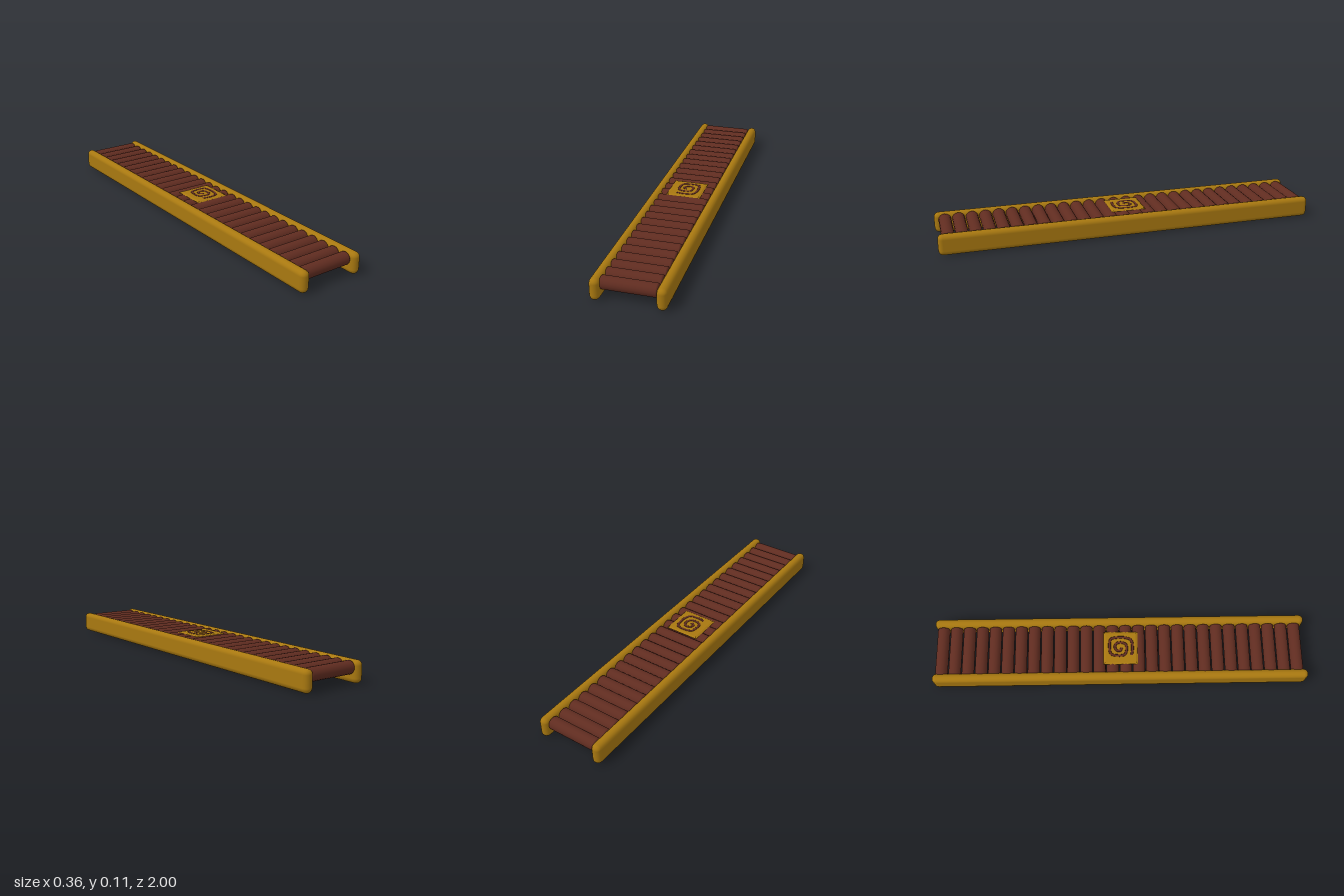
import * as THREE from 'three';
import { RoundedBoxGeometry } from 'three/addons/geometries/RoundedBoxGeometry.js';

export function createModel() {
  const group = new THREE.Group();
  const gold = new THREE.MeshStandardMaterial({ color: 0xa87810 });
  const brown = new THREE.MeshStandardMaterial({ color: 0x602c20 });

  const add = (name, geometry, material, x, y, z) => {
    const mesh = new THREE.Mesh(geometry, material);
    mesh.name = name;
    mesh.position.set(x, y, z);
    group.add(mesh);
    return mesh;
  };

  // Side rails with rounded edges
  const railGeometry = new RoundedBoxGeometry(0.05, 0.11, 2, 2, 0.025);
  for (const side of [-1, 1]) {
    add(side > 0 ? 'leftRail' : 'rightRail', railGeometry, gold, side * 0.155, 0.055, 0);
  }

  // Round slats with softened ends, lying across the rails
  const r = 0.033, half = 0.134, bevel = 0.008;
  const profile = [
    [0, -half], [r - bevel, -half], [r - bevel * 0.3, -half + bevel * 0.3], [r, -half + bevel],
    [r, half - bevel], [r - bevel * 0.3, half - bevel * 0.3], [r - bevel, half], [0, half],
  ].map(([x, y]) => new THREE.Vector2(x, y));
  const slatGeometry = new THREE.LatheGeometry(profile, 16).rotateZ(Math.PI / 2);
  const slatCount = 28;
  for (let i = 0; i < slatCount; i++) {
    add('slat', slatGeometry, brown, -0.003, 0.0745, -0.953 + i * 0.0703);
  }

  // Thin square plate, its top face slightly smaller than its base
  const plateGeometry = new THREE.CylinderGeometry(0.115, 0.13, 0.005, 4, 1)
    .rotateY(Math.PI / 4).toNonIndexed();
  plateGeometry.computeVertexNormals();
  add('plate', plateGeometry, gold, -0.003, 0.1085, 0.004);

  // Squarish spiral inlay, a flattened tube
  const spiralPoints = [
    [-0.046, 0.063], [0, 0.068], [0.04, 0.06], [0.054, 0.03], [0.055, -0.02], [0.046, -0.048],
    [0, -0.055], [-0.038, -0.046], [-0.047, -0.01], [-0.042, 0.025], [-0.015, 0.036],
    [0.016, 0.032], [0.027, 0.005], [0.02, -0.02], [0, -0.026], [-0.018, -0.016],
    [-0.018, 0.004], [-0.002, 0.01],
  ].map(([x, z]) => new THREE.Vector3(x, 0, z));
  const spiralGeometry = new THREE.TubeGeometry(
    new THREE.CatmullRomCurve3(spiralPoints), 120, 0.007, 8).scale(1, 0.28, 1);
  add('spiralInlay', spiralGeometry, brown, 0, 0.111, 0);

  return group;
}
